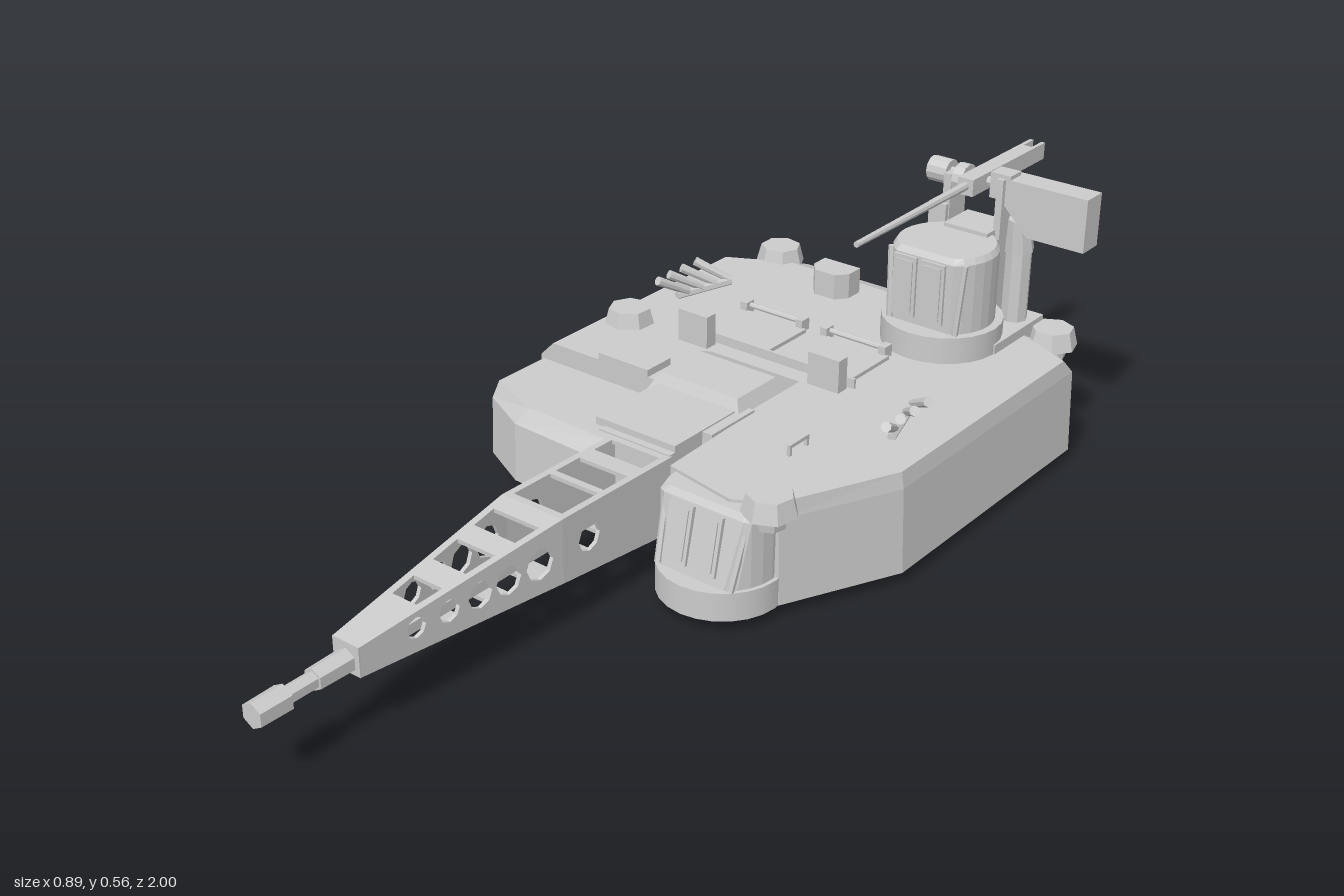
import * as THREE from 'three';

const mat = new THREE.MeshStandardMaterial({ color: 0xcccccc, flatShading: true, side: THREE.DoubleSide });
const smooth = new THREE.MeshStandardMaterial({ color: 0xcccccc, side: THREE.DoubleSide });

function add(parent, name, geo, x = 0, y = 0, z = 0, m = mat) {
  const mesh = new THREE.Mesh(geo, m);
  mesh.name = name;
  mesh.position.set(x, y, z);
  parent.add(mesh);
  return mesh;
}

// box given by its limits
const box = (p, name, x0, x1, y0, y1, z0, z1) =>
  add(p, name, new THREE.BoxGeometry(x1 - x0, y1 - y0, z1 - z0), (x0 + x1) / 2, (y0 + y1) / 2, (z0 + z1) / 2);

// cylinder between two points
function rod(p, name, a, b, r0, r1 = r0, n = 8) {
  const A = new THREE.Vector3(...a), B = new THREE.Vector3(...b);
  const mesh = add(p, name, new THREE.CylinderGeometry(r1, r0, A.distanceTo(B), n));
  mesh.position.copy(A).add(B).multiplyScalar(0.5);
  mesh.quaternion.setFromUnitVectors(new THREE.Vector3(0, 1, 0), B.sub(A).normalize());
  return mesh;
}

// solid through stacked outlines: each ring is { y, pts: [[x, z], ...] }
function loft(rings) {
  const flat = pts => pts.map(([x, z]) => new THREE.Vector2(x, -z));
  if (THREE.ShapeUtils.isClockWise(flat(rings[0].pts)))
    rings = rings.map(r => ({ y: r.y, pts: [...r.pts].reverse() }));
  const out = [], n = rings[0].pts.length;
  const put = (r, i) => out.push(r.pts[i % n][0], r.y, r.pts[i % n][1]);
  for (let k = 0; k + 1 < rings.length; k++) {
    const a = rings[k], b = rings[k + 1];
    for (let i = 0; i < n; i++) {
      put(a, i); put(a, i + 1); put(b, i + 1);
      put(a, i); put(b, i + 1); put(b, i);
    }
  }
  const last = rings[rings.length - 1];
  for (const t of THREE.ShapeUtils.triangulateShape(flat(last.pts), [])) t.forEach(i => put(last, i));
  for (const t of THREE.ShapeUtils.triangulateShape(flat(rings[0].pts), [])) [t[0], t[2], t[1]].forEach(i => put(rings[0], i));
  const g = new THREE.BufferGeometry();
  g.setAttribute('position', new THREE.Float32BufferAttribute(out, 3));
  g.computeVertexNormals();
  return g;
}

// perforated plate, bent into place by a mapping rule
function panel(p, name, poly, holes, map) {
  const s = new THREE.Shape(poly.map(q => new THREE.Vector2(...q)));
  holes.forEach(h => s.holes.push(new THREE.Path(h.map(q => new THREE.Vector2(...q)))));
  const g = new THREE.ExtrudeGeometry(s, { depth: 0.008, bevelEnabled: false });
  const a = g.attributes.position;
  for (let i = 0; i < a.count; i++) a.setXYZ(i, ...map(a.getX(i), a.getY(i), a.getZ(i)));
  g.computeVertexNormals();
  add(p, name, g);
}

// drum with a flat, leaning window face on a round base
function sight(parent, name, x, z, y0, y1, y2, rBase, r, lean) {
  const g = new THREE.Group();
  g.name = name;
  g.position.set(x, 0, z);
  parent.add(g);
  add(g, 'sightBase', new THREE.CylinderGeometry(rBase, rBase, y1 - y0, 24), 0, (y0 + y1) / 2, 0, smooth);
  const ring = (y, cut, s) => ({
    y, pts: Array.from({ length: 28 }, (_, i) => {
      const t = i / 28 * Math.PI * 2;
      return [Math.sin(t) * r * s, Math.min(Math.cos(t) * r * s, cut)];
    })
  });
  const f = r * 0.76;
  add(g, 'sightDrum', loft([ring(y1, f, 1), ring(y2 - 0.012, f - lean, 1), ring(y2, f - lean - 0.008, 0.93)]));
  const tilt = Math.atan2(lean, y2 - y1), h = y2 - y1 - 0.03;
  for (const [px, w] of [[-0.041, 0.052], [0.022, 0.055]]) {
    const frame = add(g, 'window', new THREE.BoxGeometry(w, h, 0.012), px, (y1 + y2) / 2, f - lean / 2);
    frame.rotation.x = -tilt;
    add(frame, 'windowPane', new THREE.BoxGeometry(w - 0.014, h - 0.016, 0.006), 0, 0, 0.006);
  }
  for (const s of [-1, 1])
    rod(g, 'windowCheek', [s * r * 0.72, y1, f - 0.004], [s * r * 0.8, y2 - 0.01, f - lean - 0.012], 0.007, 0.007, 6);
}

function buildGun(root) {
  const gun = new THREE.Group();
  gun.name = 'gun';
  root.add(gun);
  const y = 0.143;
  rod(gun, 'barrel', [0, y, 0], [0, y, 0.8], 0.02, 0.02, 6);
  rod(gun, 'barrelCollar', [0, y, 0.78], [0, y, 0.875], 0.023, 0.021, 6);
  rod(gun, 'barrelNeck', [0, y, 0.87], [0, y, 0.94], 0.016, 0.016, 6);
  rod(gun, 'muzzle', [0, y, 0.935], [0, y, 1], 0.025, 0.024, 6);
  // tapering lattice shroud in two lengths
  const along = (z, a, b, c) => z < 0.36 ? a + (b - a) * (z - 0.06) / 0.3 : b + (c - b) * (z - 0.36) / 0.44;
  const half = z => along(z, 0.07, 0.07, 0.03);
  const top = z => along(z, 0.222, 0.226, 0.177);
  const low = z => along(z, 0.065, 0.098, 0.12);
  const round = [[0.291, 0.028], [0.414, 0.031], [0.485, 0.028], [0.548, 0.026], [0.615, 0.022], [0.685, 0.02]];
  const slots = [[0.08, 0.13], [0.17, 0.235], [0.25, 0.345], [0.4, 0.455], [0.5, 0.565], [0.615, 0.67]];
  for (const [a, b] of [[0.06, 0.36], [0.36, 0.8]]) {
    const sideHoles = round.filter(h => h[0] > a && h[0] < b).map(([z, r]) =>
      Array.from({ length: 8 }, (_, i) => [z + r * Math.cos(i * Math.PI / 4), 0.16 + r * Math.sin(i * Math.PI / 4)]));
    const topHoles = slots.filter(h => h[0] > a && h[1] < b).map(([p, q]) => {
      const u = half(p) - 0.014, v = half(q) - 0.014;
      return [[p, -u], [q, -v], [q, v], [p, u]];
    });
    for (const s of [-1, 1])
      panel(gun, 'shroudSide', [[a, low(a)], [b, low(b)], [b, top(b)], [a, top(a)]], sideHoles,
        (u, v, w) => [s * (half(u) - w), v, u]);
    const deck = [[a, -half(a)], [b, -half(b)], [b, half(b)], [a, half(a)]];
    panel(gun, 'shroudTop', deck, topHoles, (u, v, w) => [v, top(u) - w, u]);
    panel(gun, 'shroudBottom', deck, topHoles, (u, v, w) => [v, low(u) + w, u]);
  }
  box(gun, 'shroudTip', -0.03, 0.03, 0.12, 0.177, 0.79, 0.803);
  // mantlet and cheek block
  box(gun, 'mantlet', -0.1, 0.068, 0.045, 0.225, -0.16, 0.065);
  box(gun, 'mantletPlate', 0.068, 0.09, 0.035, 0.235, -0.16, -0.03);
  box(gun, 'mantletRoof', -0.12, 0.068, 0.215, 0.238, -0.14, 0.05);
  rod(gun, 'coaxialBarrel', [-0.13, 0.05, -0.15], [-0.13, 0.05, 0.06], 0.012);
  add(gun, 'cheekBlock', loft([
    { y: 0.07, pts: [[-0.39, -0.1], [-0.07, -0.1], [-0.07, 0.115], [-0.28, 0.105], [-0.39, 0.05]] },
    { y: 0.19, pts: [[-0.39, -0.1], [-0.07, -0.1], [-0.07, 0.11], [-0.28, 0.1], [-0.39, 0.045]] },
    { y: 0.222, pts: [[-0.385, -0.1], [-0.07, -0.1], [-0.07, 0.085], [-0.26, 0.08], [-0.385, 0.03]] }]));
}

function buildWeaponStation(root) {
  const g = new THREE.Group();
  g.name = 'weaponStation';
  root.add(g);
  sight(g, 'rearSight', 0.185, -0.66, 0.2, 0.285, 0.442, 0.122, 0.105, 0);
  // rear pedestal and its column
  box(g, 'pedestal', 0.08, 0.31, 0.2, 0.25, -0.85, -0.66);
  box(g, 'rearPost', 0.14, 0.24, 0.23, 0.45, -0.81, -0.72);
  rod(g, 'rearColumn', [0.27, 0.22, -0.8], [0.27, 0.4, -0.8], 0.027);
  rod(g, 'columnHead', [0.27, 0.4, -0.8], [0.27, 0.47, -0.79], 0.03, 0.022);
  // yoke with cross shaft
  box(g, 'yokeArm', 0.115, 0.132, 0.43, 0.54, -0.81, -0.75);
  box(g, 'yokeArm', 0.235, 0.25, 0.43, 0.555, -0.81, -0.75);
  box(g, 'yokeFoot', 0.09, 0.13, 0.43, 0.478, -0.81, -0.74);
  rod(g, 'crossShaft', [0.1, 0.535, -0.78], [0.26, 0.535, -0.78], 0.01);
  rod(g, 'opticHousing', [0.07, 0.533, -0.78], [0.115, 0.533, -0.78], 0.026, 0.026, 12);
  rod(g, 'pivotDisc', [0.132, 0.527, -0.78], [0.155, 0.527, -0.78], 0.031, 0.031, 12);
  box(g, 'shaftBracket', 0.215, 0.26, 0.51, 0.563, -0.8, -0.76);
  // machine gun
  rod(g, 'machineGunBarrel', [0.182, 0.537, -0.74], [0.182, 0.535, -0.34], 0.009, 0.006);
  box(g, 'machineGunReceiver', 0.165, 0.2, 0.518, 0.553, -0.96, -0.72);
  for (const x of [0.165, 0.192]) box(g, 'receiverFork', x, x + 0.008, 0.518, 0.553, -1, -0.95);
  // ammunition box with clipped corner
  const s = new THREE.Shape([[0.245, 0.555], [0.245, 0.505], [0.305, 0.445], [0.43, 0.445], [0.43, 0.555]].map(q => new THREE.Vector2(...q)));
  add(g, 'ammoBox', new THREE.ExtrudeGeometry(s, { depth: 0.055, bevelEnabled: false }), 0, 0, -0.815);
}

export function createModel() {
  const root = new THREE.Group();
  root.name = 'tankTurret';

  // turret ring and hull
  const ringGeo = new THREE.CylinderGeometry(0.314, 0.314, 0.03, 6);
  ringGeo.rotateY(Math.PI / 6);
  add(root, 'turretRing', ringGeo, 0, 0.015, -0.425);
  const outline = [[-0.445, -0.15], [-0.445, -0.75], [-0.29, -0.87], [0.3, -0.87], [0.445, -0.75],
    [0.445, -0.14], [0.335, 0.09], [0.26, 0.13], [0.1, 0.1], [0.09, -0.15]];
  add(root, 'hull', loft([
    { y: 0.025, pts: outline },
    { y: 0.197, pts: outline.map(([x, z]) => [x * 0.983, z < -0.8 ? z + 0.006 : z]) },
    { y: 0.23, pts: outline.map(([x, z]) => [x < -0.4 ? -0.405 : x * 0.97, z < -0.8 ? -0.785 : z < -0.7 ? -0.72 : z]) }]));

  buildGun(root);
  sight(root, 'frontSight', 0.215, 0.1, 0.025, 0.082, 0.224, 0.12, 0.112, 0.03);
  buildWeaponStation(root);

  // raised cover behind the gun
  add(root, 'gunCover', loft([
    { y: 0.22, pts: [[-0.14, -0.34], [0.085, -0.34], [0.085, -0.12], [-0.14, -0.12]] },
    { y: 0.258, pts: [[-0.12, -0.26], [0.065, -0.26], [0.065, -0.14], [-0.12, -0.14]] }]));

  // roof hatches, hinges and periscopes
  for (const [x0, x1, px] of [[-0.21, -0.04, -0.185], [-0.01, 0.16, 0.132]]) {
    box(root, 'hatch', x0, x1, 0.225, 0.238, -0.51, -0.365);
    rod(root, 'hatchHinge', [x0 + 0.015, 0.246, -0.52], [x1 - 0.015, 0.246, -0.52], 0.006);
    for (const x of [x0 + 0.015, x1 - 0.015]) box(root, 'hingeLug', x - 0.008, x + 0.008, 0.225, 0.255, -0.53, -0.505);
    box(root, 'periscopePlate', x0 - 0.02, x1 + 0.02, 0.225, 0.25, -0.364, -0.358);
    box(root, 'periscope', px - 0.036, px + 0.036, 0.225, 0.298, -0.35, -0.322);
  }
  box(root, 'frontRoofBox', -0.285, -0.16, 0.2, 0.245, -0.22, -0.15);
  box(root, 'roofHandle', 0.237, 0.244, 0.245, 0.252, -0.12, -0.06);
  for (const z of [-0.12, -0.067]) box(root, 'handleLeg', 0.237, 0.244, 0.225, 0.252, z, z + 0.007);
  const pent = [[-0.16, -0.745], [-0.07, -0.745], [-0.07, -0.705], [-0.09, -0.68], [-0.14, -0.68], [-0.16, -0.705]];
  add(root, 'roofSensor', loft([{ y: 0.22, pts: pent }, { y: 0.285, pts: pent }]));

  // corner sensor pods
  for (const [x, z, y, a] of [[-0.315, -0.8, 0.237, 0.7], [-0.355, -0.33, 0.243, 0.2], [0.345, -0.83, 0.22, 0.5], [0.325, 0.11, 0.24, 0.9]]) {
    const pod = add(root, 'sensorPod', new THREE.CylinderGeometry(0.043, 0.053, 0.038, 7), x, y, z);
    pod.rotation.y = a;
    add(pod, 'podFoot', new THREE.CylinderGeometry(0.035, 0.03, 0.03, 7), 0, -0.03, 0);
  }

  // smoke launcher clusters
  for (const [s, cx, cz] of [[-1, -0.335, -0.53], [1, 0.335, -0.28]]) {
    const g = new THREE.Group();
    g.name = 'smokeLaunchers';
    g.position.set(cx, 0.235, cz);
    root.add(g);
    rod(g, 'launcherRail', [-s * 0.025, 0, -0.08], [s * 0.015, 0, 0.05], 0.009, 0.009, 6);
    for (let i = 0; i < 4; i++) {
      const z = -0.08 + i * 0.035, x = s * (-0.025 + i * 0.01), t = 0.95 - i * 0.2;
      rod(g, 'launcherTube', [x, 0.005, z], [x + s * Math.sin(t) * 0.075, 0.045, z + Math.cos(t) * 0.075], 0.008, 0.01, 8);
    }
  }
  return root;
}
